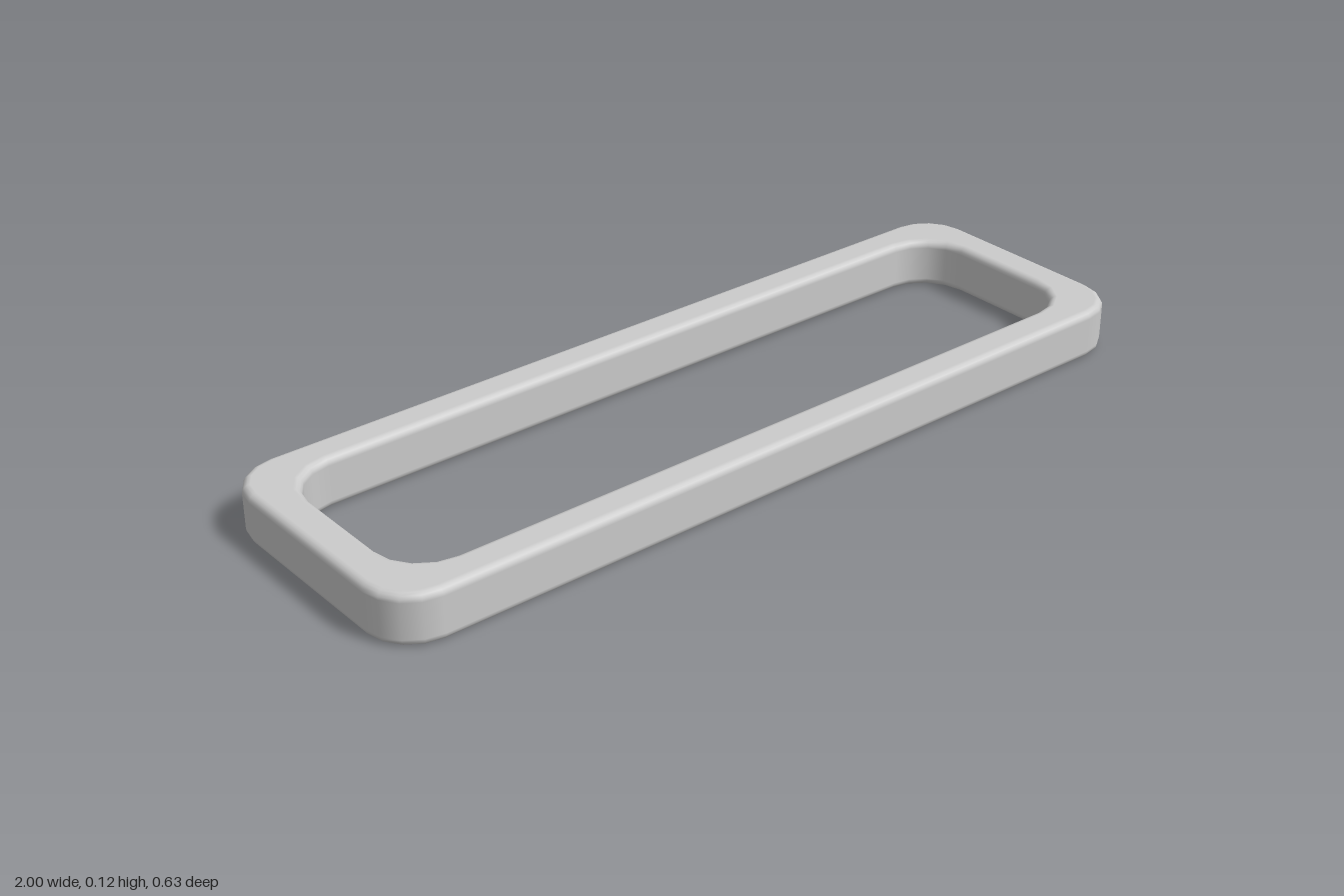
import * as THREE from 'three';

const HEIGHT = 0.118, BEVEL = 0.018, CORNER_STEPS = 4, BEVEL_STEPS = 4;
// Half sizes and corner radius of the outer edge and of the opening
const OUTER = { x: 1, z: 0.316, r: 0.11 };
const INNER = { x: 0.912, z: 0.23, r: 0.11 };

// Cross-section of the bar: four rounded edges, from outer bottom round to inner bottom
function barSection() {
  const points = [];
  for (let edge = 0; edge < 4; edge++) {
    for (let s = 0; s <= BEVEL_STEPS; s++) {
      const a = (edge - 1 + s / BEVEL_STEPS) * Math.PI / 2;
      const top = edge === 1 || edge === 2;
      points.push({
        rim: edge < 2 ? OUTER : INNER,
        inset: edge < 2 ? -BEVEL : BEVEL,
        y: top ? HEIGHT - BEVEL : BEVEL,
        out: Math.cos(a), up: Math.sin(a),
      });
    }
  }
  return points;
}

// Sweep the cross-section around the rounded rectangle
function frameGeometry() {
  const section = barSection(), n = section.length;
  const position = [], normal = [], index = [];
  for (let corner = 0; corner < 4; corner++) {
    const sx = corner === 0 || corner === 3 ? 1 : -1;
    const sz = corner < 2 ? 1 : -1;
    for (let s = 0; s <= CORNER_STEPS; s++) {
      const t = (corner + s / CORNER_STEPS) * Math.PI / 2;
      const c = Math.cos(t), d = Math.sin(t);
      for (const { rim, inset, y, out, up } of section) {
        const radius = rim.r + inset + BEVEL * out;
        position.push(sx * (rim.x - rim.r) + c * radius, y + BEVEL * up, sz * (rim.z - rim.r) + d * radius);
        normal.push(c * out, up, d * out);
      }
    }
  }
  const rings = 4 * (CORNER_STEPS + 1);
  for (let i = 0; i < rings; i++) {
    for (let j = 0; j < n; j++) {
      const i2 = (i + 1) % rings, j2 = (j + 1) % n;
      const a = i * n + j, b = i * n + j2, c = i2 * n + j, d = i2 * n + j2;
      index.push(a, b, c, b, d, c);
    }
  }
  const geometry = new THREE.BufferGeometry();
  geometry.setAttribute('position', new THREE.Float32BufferAttribute(position, 3));
  geometry.setAttribute('normal', new THREE.Float32BufferAttribute(normal, 3));
  geometry.setIndex(index);
  return geometry;
}

export function createModel() {
  const group = new THREE.Group();
  group.name = 'rectangularRing';
  const frame = new THREE.Mesh(frameGeometry(), new THREE.MeshStandardMaterial({ color: 0xcccccc }));
  frame.name = 'frame';
  group.add(frame);
  return group;
}
